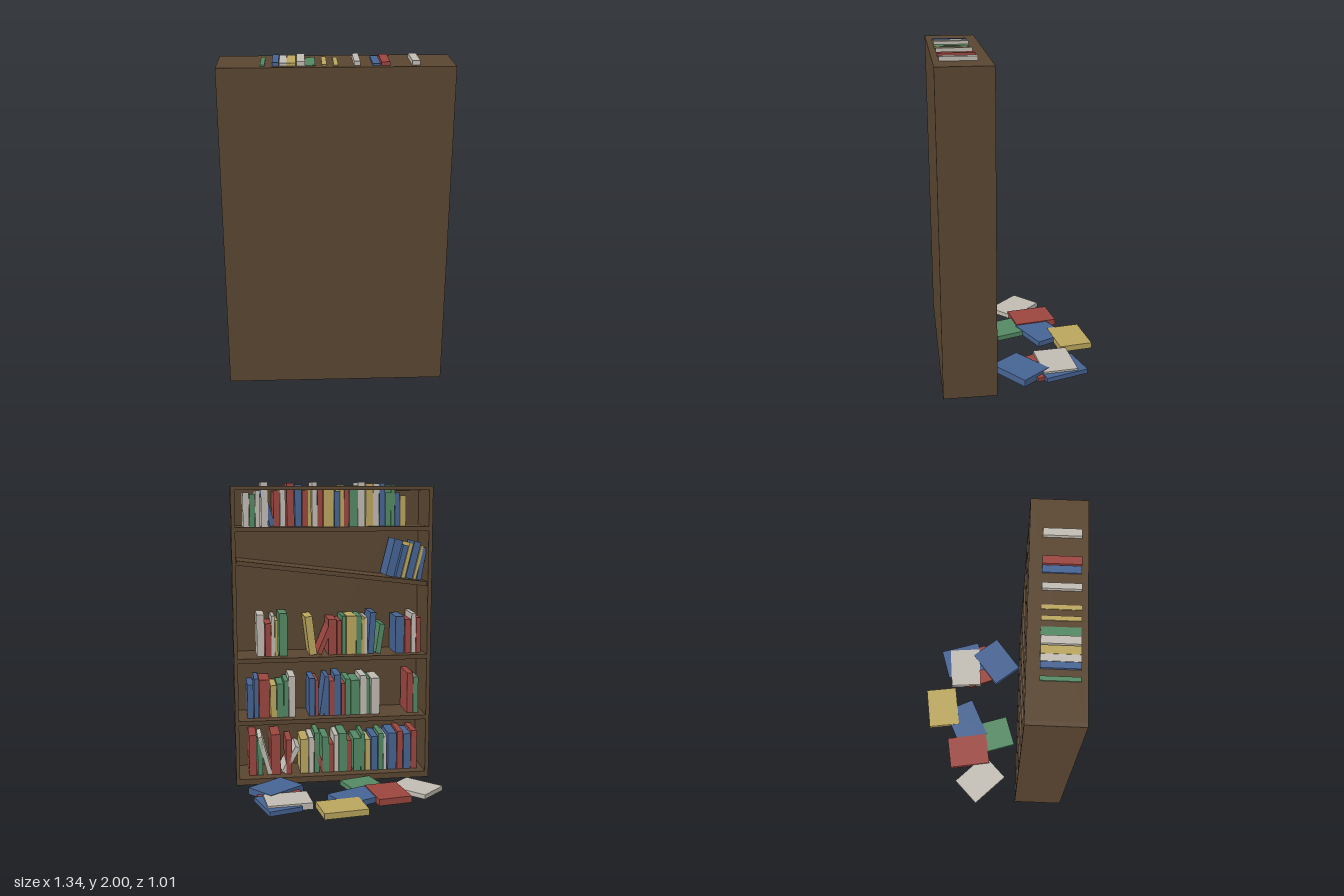
import * as THREE from 'three';

const material = (name, color) => {
  const m = new THREE.MeshStandardMaterial({ color });
  m.name = name;
  return m;
};

export function createModel() {
  const root = new THREE.Group();
  root.name = 'bookcase';
  const wood = material('dark wood', 0x594530);
  const cover = {
    b: material('blue cover', 0x466392),
    r: material('red cover', 0x9a453e),
    y: material('yellow cover', 0xb9a55d),
    w: material('off-white cover', 0xc0bbb2),
    g: material('green cover', 0x538863),
  };

  const box = (parent, name, mat, w, h, d, x, y, z) => {
    const mesh = new THREE.Mesh(new THREE.BoxGeometry(w, h, d), mat);
    mesh.name = name;
    mesh.position.set(x, y, z);
    parent.add(mesh);
    return mesh;
  };

  // Case: closed on +z, open on -z
  const CX = 0.0125, W = 1.315, H = 1.975, Z = 0.3425, D = 0.325, T = 0.025;
  for (const s of [-1, 1]) box(root, 'sidePanel', wood, T, H, D, CX + s * (W - T) / 2, H / 2, Z);
  const inner = W - 2 * T;
  box(root, 'backPanel', wood, inner, H, 0.02, CX, H / 2, 0.495);
  box(root, 'topPanel', wood, inner, T, D - 0.02, CX, H - T / 2, Z - 0.01);
  box(root, 'bottomPanel', wood, inner, 0.04, D - 0.02, CX, 0.02, Z - 0.01);
  const shelfTops = [0.44, 0.86, 1.715];
  for (const y of shelfTops) box(root, 'shelf', wood, inner, 0.03, D - 0.02, CX, y - 0.015, Z - 0.01);

  // Broken shelf, tilted down toward -x
  const fallen = new THREE.Group();
  fallen.name = 'fallenShelf';
  fallen.position.set(CX, 1.427, Z - 0.01);
  fallen.rotation.z = 0.12;
  box(fallen, 'fallenBoard', wood, inner, 0.03, D - 0.02, 0, -0.015, 0);
  root.add(fallen);

  // Standing books: [colour, centre x, thickness, height, lean]
  const addRow = (parent, y, z, books) => {
    for (const [c, x, w, h, lean = 0] of books) {
      const pivot = new THREE.Group();
      pivot.name = 'standingBook';
      pivot.position.set(x, y + Math.abs(Math.sin(lean)) * w / 2, z);
      pivot.rotation.z = lean;
      box(pivot, 'book', cover[c], w, h, 0.215, 0, h / 2, 0);
      parent.add(pivot);
    }
  };
  const BZ = 0.361;

  // Top row, the tallest books reach through the top panel
  addRow(root, 1.715, BZ, [
    ['w', 0.572, 0.04, 0.22], ['g', 0.532, 0.035, 0.21], ['w', 0.498, 0.028, 0.23],
    ['w', 0.452, 0.045, 0.285], ['b', 0.4, 0.035, 0.24, -0.3], ['r', 0.375, 0.04, 0.23],
    ['w', 0.335, 0.035, 0.24], ['r', 0.284, 0.048, 0.28], ['b', 0.234, 0.044, 0.27],
    ['r', 0.19, 0.038, 0.23], ['y', 0.16, 0.022, 0.24], ['w', 0.127, 0.035, 0.285],
    ['r', 0.09, 0.036, 0.24], ['y', 0.045, 0.045, 0.25], ['y', 0.011, 0.025, 0.265],
    ['b', -0.02, 0.033, 0.23], ['y', -0.053, 0.027, 0.267], ['r', -0.083, 0.03, 0.24],
    ['g', -0.13, 0.055, 0.264], ['w', -0.182, 0.046, 0.285], ['y', -0.235, 0.048, 0.277],
    ['w', -0.28, 0.04, 0.277], ['b', -0.321, 0.036, 0.28], ['g', -0.36, 0.036, 0.22],
    ['g', -0.392, 0.025, 0.268], ['b', -0.422, 0.03, 0.22], ['y', -0.46, 0.04, 0.2],
  ]);

  // Books slumped on the broken shelf
  addRow(fallen, 0, 0.02, [
    ['b', -0.39, 0.055, 0.25, 0.12], ['b', -0.446, 0.035, 0.22, 0.12], ['y', -0.48, 0.025, 0.24, 0.12],
    ['b', -0.52, 0.045, 0.25, 0.12], ['y', -0.558, 0.02, 0.23, 0.12], ['b', -0.59, 0.03, 0.22, 0.05],
  ]);

  addRow(root, 0.86, BZ, [
    ['w', 0.49, 0.05, 0.28], ['r', 0.44, 0.04, 0.22], ['w', 0.408, 0.022, 0.27],
    ['y', 0.385, 0.02, 0.24], ['g', 0.34, 0.055, 0.285],
    ['y', 0.14, 0.05, 0.26, -0.12], ['r', 0.1, 0.03, 0.23, 0.4], ['r', 0.01, 0.055, 0.24],
    ['r', -0.035, 0.03, 0.23], ['g', -0.068, 0.028, 0.26], ['y', -0.118, 0.065, 0.26],
    ['g', -0.17, 0.035, 0.26], ['y', -0.198, 0.02, 0.24], ['w', -0.218, 0.02, 0.25],
    ['b', -0.25, 0.04, 0.28, 0.06], ['g', -0.3, 0.035, 0.2, 0.15],
    ['b', -0.45, 0.06, 0.25], ['r', -0.505, 0.04, 0.23], ['w', -0.545, 0.03, 0.27],
    ['r', -0.578, 0.03, 0.24],
  ]);

  addRow(root, 0.44, BZ, [
    ['b', 0.565, 0.04, 0.23], ['b', 0.525, 0.03, 0.27], ['r', 0.47, 0.07, 0.26],
    ['y', 0.41, 0.04, 0.22], ['g', 0.365, 0.045, 0.23], ['g', 0.325, 0.03, 0.25],
    ['w', 0.285, 0.045, 0.28],
    ['b', 0.15, 0.04, 0.26], ['r', 0.118, 0.02, 0.25], ['b', 0.085, 0.03, 0.27, 0.14],
    ['b', 0.05, 0.03, 0.25], ['r', 0.015, 0.035, 0.24], ['b', -0.025, 0.045, 0.28],
    ['r', -0.063, 0.025, 0.22], ['g', -0.095, 0.035, 0.25], ['g', -0.145, 0.06, 0.24],
    ['w', -0.2, 0.045, 0.27], ['g', -0.235, 0.025, 0.25], ['w', -0.285, 0.06, 0.25],
    ['r', -0.525, 0.04, 0.28], ['g', -0.565, 0.035, 0.25],
  ]);

  addRow(root, 0.04, BZ, [
    ['r', 0.555, 0.05, 0.28], ['g', 0.505, 0.035, 0.24], ['w', 0.44, 0.03, 0.27, -0.25],
    ['r', 0.4, 0.065, 0.28], ['w', 0.345, 0.035, 0.2, 0.5], ['r', 0.31, 0.04, 0.24],
    ['y', 0.205, 0.055, 0.24], ['w', 0.157, 0.035, 0.25], ['g', 0.118, 0.035, 0.28],
    ['r', 0.07, 0.03, 0.24, -0.35], ['g', 0.06, 0.045, 0.25], ['r', 0.02, 0.03, 0.2],
    ['w', -0.015, 0.03, 0.26], ['g', -0.06, 0.055, 0.27], ['r', -0.105, 0.03, 0.22],
    ['g', -0.16, 0.05, 0.23], ['g', -0.2, 0.025, 0.26], ['y', -0.235, 0.035, 0.22],
    ['b', -0.28, 0.045, 0.24], ['g', -0.325, 0.035, 0.26], ['w', -0.355, 0.02, 0.24],
    ['b', -0.405, 0.06, 0.26], ['r', -0.46, 0.04, 0.27], ['b', -0.51, 0.05, 0.25],
    ['r', -0.558, 0.04, 0.27],
  ]);

  // Books lying on the floor: [colour, x, z, thickness, turn]
  const pile = [
    ['w', -0.495, -0.077, 0.03, -0.798], ['r', -0.29, -0.172, 0.043, -1.411],
    ['g', -0.165, -0.006, 0.032, -1.262], ['b', -0.073, -0.202, 0.036, 0.44],
    ['y', 0.0375, -0.38, 0.039, 0.139], ['w', 0.36, -0.226, 0.042, 0.086],
    ['b', 0.421, -0.244, 0.03, -1.275], ['r', 0.378, -0.137, 0.025, 0.379],
    ['b', 0.4175, 0.006, 0.045, 0.672],
  ];
  for (const [c, x, z, t, turn] of pile) {
    box(root, 'floorBook', cover[c], 0.283, t, 0.218, x, t / 2, z).rotation.y = turn;
  }
  return root;
}
